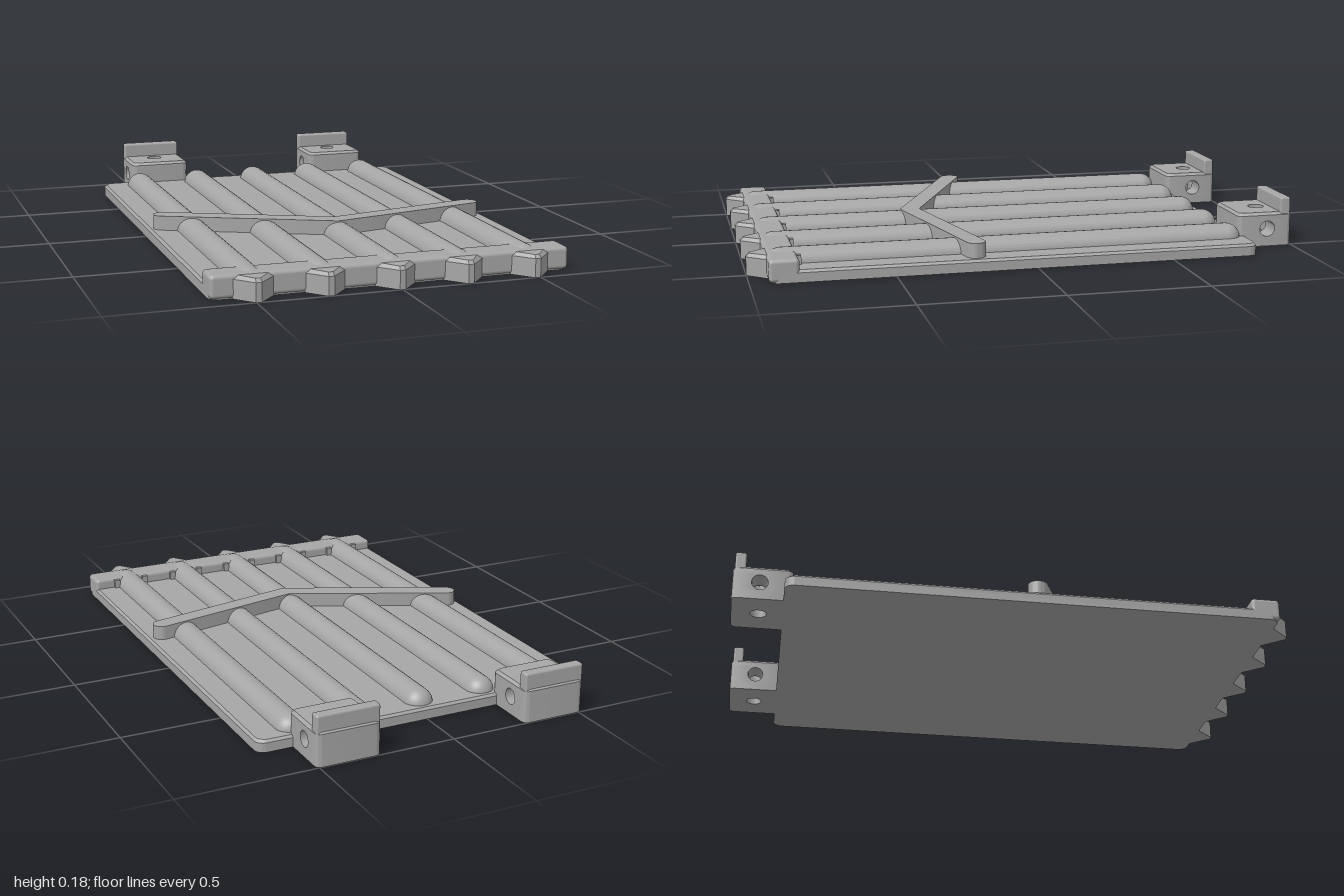
import * as THREE from 'three';
import { toCreasedNormals } from 'three/addons/utils/BufferGeometryUtils.js';
import { RoundedBoxGeometry } from 'three/addons/geometries/RoundedBoxGeometry.js';

const grey = new THREE.MeshStandardMaterial({ color: 0xa6a6a6 });
grey.name = 'plain grey';

function add(parent, name, geometry, x = 0, y = 0, z = 0) {
  const mesh = new THREE.Mesh(geometry, grey);
  mesh.name = name;
  mesh.position.set(x, y, z);
  parent.add(mesh);
  return mesh;
}

// Rectangle in plan; r holds the corner radii at front-left, front-right, back-right, back-left
function planRect(x0, x1, z0, z1, r) {
  const [a, b, c, d] = Array.isArray(r) ? r : [r, r, r, r];
  const s = new THREE.Shape();
  s.moveTo(x0 + a, -z1);
  s.lineTo(x1 - b, -z1);
  if (b) s.absarc(x1 - b, -z1 + b, b, -Math.PI / 2, 0);
  s.lineTo(x1, -z0 - c);
  if (c) s.absarc(x1 - c, -z0 - c, c, 0, Math.PI / 2);
  s.lineTo(x0 + d, -z0);
  if (d) s.absarc(x0 + d, -z0 - d, d, Math.PI / 2, Math.PI);
  s.lineTo(x0, -z1 + a);
  if (a) s.absarc(x0 + a, -z1 + a, a, Math.PI, Math.PI * 1.5);
  return s;
}

function circlePath(x, y, r) {
  const p = new THREE.Path();
  p.absarc(x, y, r, 0, Math.PI * 2, true);
  return p;
}

// Upright slab from a plan shape; move() may alter the top vertices
function slab(shape, y0, y1, move) {
  const g = new THREE.ExtrudeGeometry(shape, { depth: y1 - y0, bevelEnabled: false, curveSegments: 10 });
  g.rotateX(-Math.PI / 2).translate(0, y0, 0);
  if (move) {
    const p = g.attributes.position;
    for (let i = 0; i < p.count; i++) {
      if (p.getY(i) > (y0 + y1) / 2) {
        const [x, z] = move(p.getX(i), p.getZ(i));
        p.setXYZ(i, x, p.getY(i), z);
      }
    }
  }
  return toCreasedNormals(g, 0.5);
}

// Half-sunk rod with domed ends, flattened inside the plate
function ribGeometry(length, radius) {
  const g = new THREE.CapsuleGeometry(radius, length - 2 * radius, 8, 28);
  g.rotateX(Math.PI / 2);
  const p = g.attributes.position;
  for (let i = 0; i < p.count; i++) p.setY(i, Math.max(p.getY(i), -0.02));
  return g;
}

// Bracket drilled both vertically and sideways, with an upright lip at the back
function bracket(name) {
  const group = new THREE.Group();
  group.name = name;
  const w = 0.118, back = -0.095, front = 0.115, r = 0.02, c = 0.035, hole = 0.029;
  const full = () => {
    const s = planRect(-w, w, back, front, r);
    s.holes.push(circlePath(0, 0, hole));
    return s;
  };
  add(group, 'bracketBase', slab(full(), 0, 0.03));
  add(group, 'bracketFront', slab(planRect(-w, w, c, front, [r, r, 0, 0]), 0.03, 0.1));
  add(group, 'bracketBack', slab(planRect(-w, w, back, -c, [0, 0, r, r]), 0.03, 0.1));
  add(group, 'bracketTop', slab(full(), 0.1, 0.116));
  add(group, 'bracketTopEdge', slab(full(), 0.116, 0.126, (x, z) =>
    Math.hypot(x, z) > 0.05 ? [x * 0.92, 0.01 + (z - 0.01) * 0.92] : [x, z]));

  // Sideways bore on each side of the vertical bore
  const square = new THREE.Shape();
  square.moveTo(-c, -c).lineTo(c, -c).lineTo(c, c).lineTo(-c, c);
  square.holes.push(circlePath(0, 0, hole));
  for (const x of [-w, c]) {
    const g = new THREE.ExtrudeGeometry(square, { depth: w - c, bevelEnabled: false, curveSegments: 12 });
    g.rotateY(Math.PI / 2);
    add(group, 'bracketBore', toCreasedNormals(g, 0.5), x, 0.065, 0);
  }
  add(group, 'bracketLip', new RoundedBoxGeometry(0.232, 0.08, 0.04, 2, 0.008), 0, 0.14, -0.07);
  return group;
}

export function createModel() {
  const model = new THREE.Group();
  model.name = 'ribbedPlate';

  // Base plate with a slightly bevelled top edge
  const outline = () => planRect(-0.637, 0.637, -0.82, 0.93, 0.035);
  add(model, 'basePlate', slab(outline(), 0, 0.034));
  add(model, 'basePlateEdge', slab(outline(), 0.034, 0.043, (x, z) => [x * 0.987, 0.055 + (z - 0.055) * 0.991]));

  // Front bar
  add(model, 'frontBar', new RoundedBoxGeometry(1.274, 0.08, 0.105, 3, 0.014), 0, 0.042, 0.8825);

  // Ribs, each with a pointed tooth and two small tabs at the bar
  const tooth = new THREE.Shape();
  tooth.moveTo(-0.07, 0.03).lineTo(-0.07, 0).lineTo(-0.01, -0.068).lineTo(0.01, -0.068)
    .lineTo(0.07, 0).lineTo(0.07, 0.03);
  const toothLow = slab(tooth, 0, 0.066);
  const toothTop = slab(tooth, 0.066, 0.078, (x, z) => [x * 0.85, z > 0 ? z - 0.012 : z]);
  const rib = ribGeometry(1.735, 0.053);
  for (const x of [-0.492, -0.247, 0, 0.245, 0.49]) {
    add(model, 'rib', rib, x, 0.038, 0.0675);
    add(model, 'tooth', toothLow, x, 0, 0.932);
    add(model, 'toothTop', toothTop, x, 0, 0.932);
    for (const side of [-1, 1]) {
      add(model, 'ribTab', new THREE.BoxGeometry(0.022, 0.04, 0.03), x + side * 0.06, 0.055, 0.832);
    }
  }

  // Bent cross strip with rounded ends
  const bend = [0, 0.34];
  for (const [x, z] of [[-0.585, 0.065], [0.58, 0.212]]) {
    const dx = bend[0] - x, dz = bend[1] - z;
    const length = Math.hypot(dx, dz), h = 0.035;
    const strip = add(model, 'crossStrip',
      slab(planRect(-h, length + h, -h, h, h - 0.0001), 0.035, 0.096), x, 0, z);
    strip.rotation.y = -Math.atan2(dz, dx);
  }

  // Rear brackets
  for (const [name, x] of [['leftBracket', 0.392], ['rightBracket', -0.396]]) {
    const b = bracket(name);
    b.position.set(x, 0, -0.905);
    model.add(b);
  }
  return model;
}
